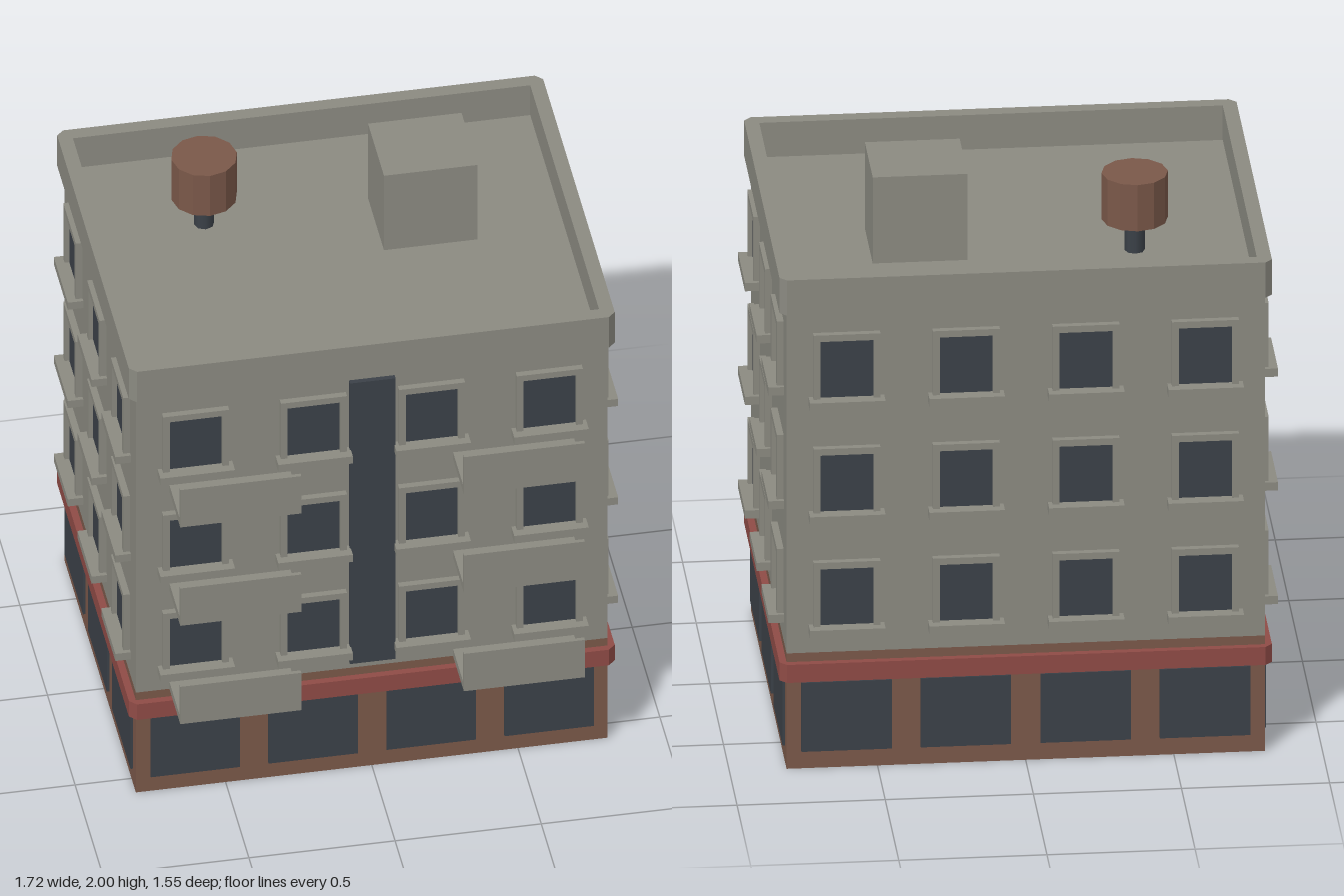
import * as THREE from 'three';

const material = (name, color) => {
  const m = new THREE.MeshStandardMaterial({ color });
  m.name = name;
  return m;
};

// Main dimensions: half width, half depth, depth offset of the block, storey height
const HW = 0.807, HD = 0.648, CZ = -0.07, STOREY = 0.419;

export function createModel() {
  const concrete = material('concrete', 0x8b8a81);
  const brick = material('brick', 0x7a5849);
  const trim = material('red trim', 0x8f4b46);
  const glass = material('dark glass', 0x3b4148);

  const model = new THREE.Group();
  model.name = 'apartmentBlock';

  const add = (parent, name, geometry, mat, x = 0, y = 0, z = 0) => {
    const mesh = new THREE.Mesh(geometry, mat);
    mesh.name = name;
    mesh.position.set(x, y, z);
    parent.add(mesh);
    return mesh;
  };
  const box = (w, h, d) => new THREE.BoxGeometry(w, h, d);
  // Box placed by its bottom y
  const block = (parent, name, mat, w, h, d, x, y, z) =>
    add(parent, name, box(w, h, d), mat, x, y + h / 2, z);

  // Rectangular ring with cut corners, lying flat
  const ring = (name, mat, out, inset, y, h) => {
    const a = HW + out, b = HD + out, c = 0.024;
    const s = new THREE.Shape([
      [a - c, -b], [a, c - b], [a, b - c], [a - c, b],
      [c - a, b], [-a, b - c], [-a, c - b], [c - a, -b],
    ].map(([x, z]) => new THREE.Vector2(x, z)));
    const i = HW - inset, j = HD - inset;
    s.holes.push(new THREE.Path(
      [[-i, -j], [-i, j], [i, j], [i, -j]].map(([x, z]) => new THREE.Vector2(x, z))));
    const g = new THREE.ExtrudeGeometry(s, { depth: h, bevelEnabled: false });
    g.rotateX(-Math.PI / 2);
    add(model, name, g, mat, 0, y, CZ);
  };

  // Main volumes
  block(model, 'groundFloor', brick, HW * 2, 0.425, HD * 2, 0, 0, CZ);
  block(model, 'upperFloors', concrete, HW * 2, 1.258, HD * 2, 0, 0.425, CZ);
  ring('shopCornice', trim, 0.024, 0.02, 0.327, 0.066);
  ring('parapet', concrete, 0.024, 0.025, 1.68, 0.13);

  // Shared window parts; the frame is open at the bottom, where the sill closes it
  const frameShape = new THREE.Shape([
    [-0.113, 0], [-0.09, 0], [-0.09, 0.212], [0.09, 0.212],
    [0.09, 0], [0.113, 0], [0.113, 0.236], [-0.113, 0.236],
  ].map(([x, y]) => new THREE.Vector2(x, y)));
  const frame = new THREE.ExtrudeGeometry(frameShape, { depth: 0.023, bevelEnabled: false });
  const pane = box(0.18, 0.215, 0.008);
  const sill = box(0.255, 0.03, 0.053);

  // Each wall: local +z points outwards
  const walls = [
    ['front', 0, HD, [-0.605, -0.202, 0.202, 0.605], 0.305],
    ['left', Math.PI / 2, HW, [-0.43, 0, 0.43], 0.338],
    ['back', Math.PI, HD, [-0.605, -0.202, 0.202, 0.605], 0.305],
    ['right', -Math.PI / 2, HW, [-0.43, 0, 0.43], 0.338],
  ];
  for (const [name, angle, dist, columns, shopWidth] of walls) {
    const wall = new THREE.Group();
    wall.name = name + 'Wall';
    wall.rotation.y = angle;
    wall.position.z = CZ;
    model.add(wall);
    for (const x of columns) {
      block(wall, 'shopWindow', glass, shopWidth, 0.254, 0.009, x, 0.064, dist + 0.0045);
      for (let f = 0; f < 3; f++) {
        const y = 0.528 + f * STOREY;
        add(wall, 'windowPane', pane, glass, x, y + 0.104, dist + 0.003);
        add(wall, 'windowFrame', frame, concrete, x, y, dist);
        add(wall, 'windowSill', sill, concrete, x, y - 0.015, dist + 0.0265);
      }
    }
  }

  // Glazed stairwell strip on the front
  const frontZ = CZ + HD;
  block(model, 'stairwellGlass', glass, 0.156, 1.195, 0.018, 0, 0.455, frontZ + 0.009);

  // Balconies: slab and front panel, open at the ends
  for (const side of [-1, 1]) {
    for (let f = 0; f < 3; f++) {
      const y = 0.424 + f * STOREY, x = side * 0.485;
      block(model, 'balconySlab', concrete, 0.414, 0.03, 0.184, x, y, frontZ + 0.092);
      block(model, 'balconyPanel', concrete, 0.414, 0.159, 0.014, x, y, frontZ + 0.189);
    }
  }

  // Roof: stair hut and water tank on a post
  block(model, 'roofHut', concrete, 0.32, 0.32, 0.29, 0.322, 1.68, -0.203);
  add(model, 'waterTank', new THREE.CylinderGeometry(0.112, 0.112, 0.17, 12).toNonIndexed(), brick, -0.405, 1.885, -0.315)
    .geometry.computeVertexNormals();
  add(model, 'tankPost', new THREE.CylinderGeometry(0.034, 0.034, 0.125, 8), glass, -0.405, 1.742, -0.315);

  return model;
}
